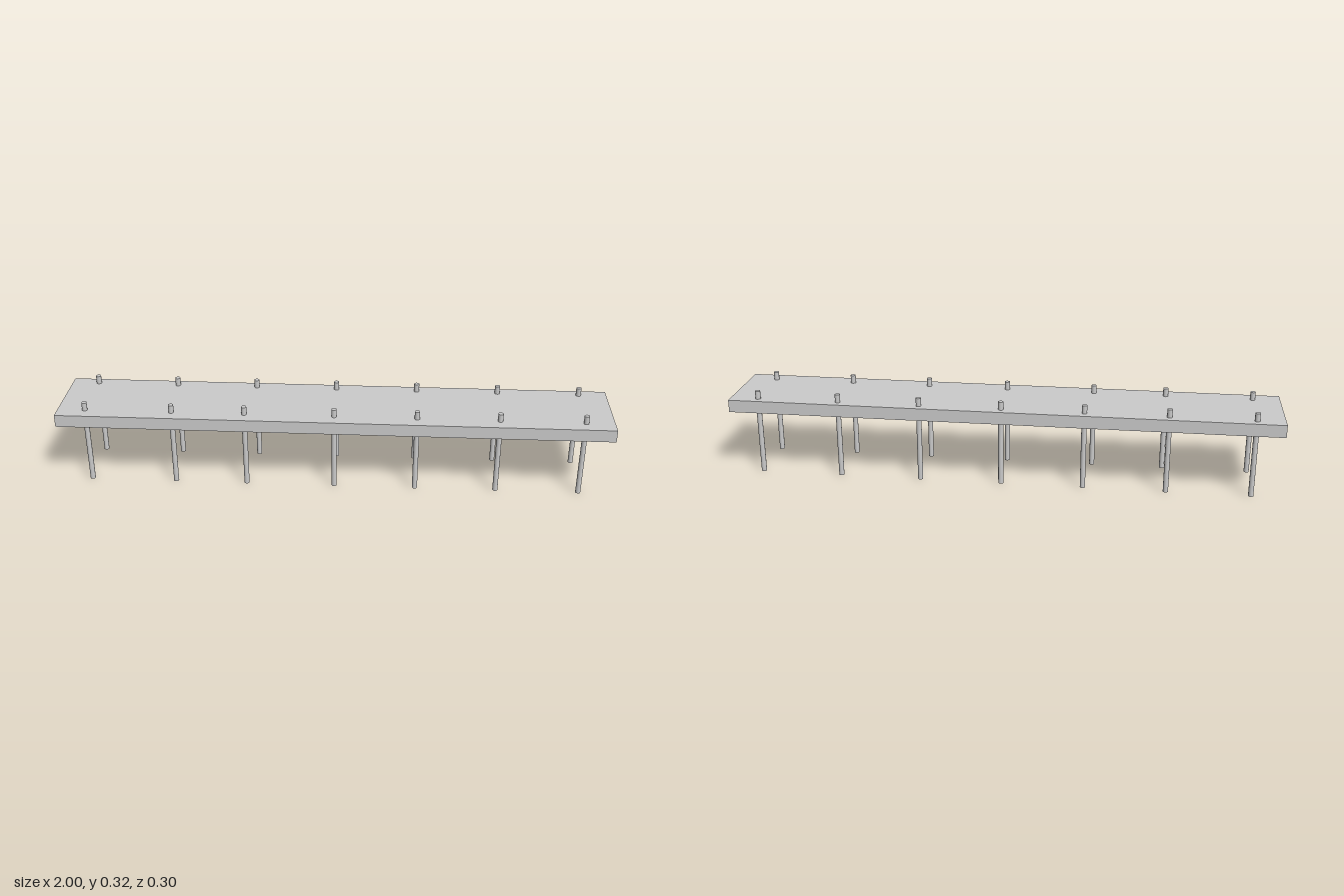
import * as THREE from 'three';

export function createModel() {
  const group = new THREE.Group();
  const material = new THREE.MeshStandardMaterial({ color: 0xcccccc });

  // Flat deck slab
  const deck = new THREE.Mesh(new THREE.BoxGeometry(2, 0.046, 0.298), material);
  deck.name = 'deck';
  deck.position.y = 0.264;
  group.add(deck);

  // Round posts that pass through the deck, in two rows
  const height = 0.317;
  const postGeometry = new THREE.CylinderGeometry(0.0095, 0.0095, height, 16);
  const rows = [
    { name: 'frontPost', z: 0.1, xs: [-0.9, -0.585, -0.321, 0.003, 0.3, 0.595, 0.897] },
    { name: 'backPost', z: -0.117, xs: [-0.9, -0.598, -0.299, 0, 0.299, 0.598, 0.897] },
  ];
  for (const { name, z, xs } of rows) {
    xs.forEach((x, i) => {
      const post = new THREE.Mesh(postGeometry, material);
      post.name = `${name}${i + 1}`;
      post.position.set(x, height / 2, z);
      group.add(post);
    });
  }
  return group;
}
